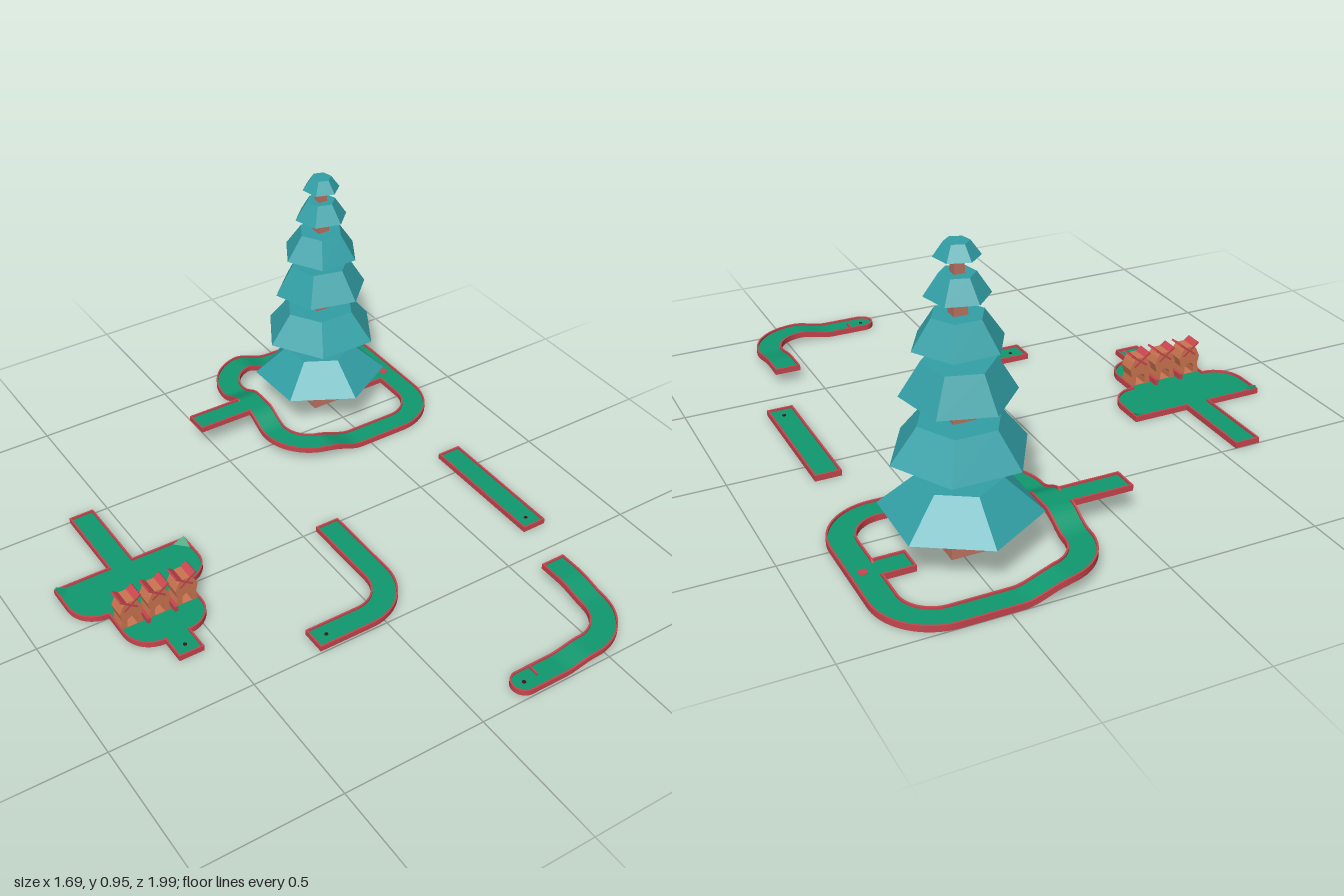
import * as THREE from 'three';

const mat = (color, side = THREE.FrontSide) => new THREE.MeshStandardMaterial({ color, flatShading: true, side });
const RED = mat(0xc8464e), GREEN = mat(0x10996f, THREE.DoubleSide), TEAL = mat(0x32a0a6);
const BROWN = mat(0xb87160), HUT = mat(0xcc7550), DARK = mat(0x401418);
const W = 0.045, T = 0.006, H = 0.02, F = 0.012; // lane half width, rim, rim height, floor height

const smooth = (a, b, v) => THREE.MathUtils.smoothstep(v, a, b);

function add(parent, name, geo, material, x = 0, y = 0, z = 0) {
  const m = new THREE.Mesh(geo, material);
  m.name = name;
  m.position.set(x, y, z);
  parent.add(m);
  return m;
}

function group(parent, name) {
  const g = new THREE.Group();
  g.name = name;
  parent.add(g);
  return g;
}

// skin a list of cross-sections
function loft(rings, closedSection) {
  const pos = [], n = rings[0].length;
  for (let i = 0; i + 1 < rings.length; i++) {
    for (let j = 0; j < (closedSection ? n : n - 1); j++) {
      const k = (j + 1) % n;
      const a = rings[i][j], b = rings[i][k], c = rings[i + 1][k], d = rings[i + 1][j];
      for (const p of [a, b, c, a, c, d]) pos.push(...p);
    }
  }
  const g = new THREE.BufferGeometry();
  g.setAttribute('position', new THREE.Float32BufferAttribute(pos, 3));
  g.computeVertexNormals();
  return g;
}

// lane swept along a plan path (x, z); height(x, z) lifts it, gate(x, z) opens a rim [first, second]
function lane(parent, name, path, { steps = 1, height = () => 0, gate = () => [false, false], closed = false, ends = [true, true] } = {}) {
  const g = group(parent, name);
  const pts = path.getSpacedPoints(steps);
  const rims = [], floors = [];
  pts.forEach((p, i) => {
    const prev = i > 0 ? pts[i - 1] : closed ? pts[steps - 1] : p;
    const next = i < steps ? pts[i + 1] : closed ? pts[1] : p;
    const t = next.clone().sub(prev).normalize();
    const y0 = height(p.x, p.y), [openA, openB] = gate(p.x, p.y);
    const at = (s, y) => [p.x - t.y * s, y0 + y, p.y + t.x * s];
    const hA = openA ? F : H, hB = openB ? F : H;
    rims.push([at(-W, 0), at(-W, hA), at(-W + T, hA), at(-W + T, F - 0.001),
      at(W - T, F - 0.001), at(W - T, hB), at(W, hB), at(W, 0)]);
    const fA = openA ? W : W - T, fB = openB ? W : W - T;
    floors.push([at(-fA, F + 0.0005), at(fB, F + 0.0005)]);
    const e = i === 0 ? 0 : i === steps ? 1 : -1;
    if (!closed && e >= 0 && ends[e]) {
      const s = e ? -T / 2 : T / 2;
      const wall = add(g, 'endRim', new THREE.BoxGeometry(2 * W, H, T), RED, p.x + t.x * s, y0 + H / 2, p.y + t.y * s);
      wall.rotation.y = Math.atan2(t.x, t.y);
    }
  });
  add(g, 'rim', loft(rims, true), RED);
  add(g, 'floor', loft(floors, false), GREEN);
  return g;
}

const line = (x0, z0, x1, z1) => new THREE.Path().moveTo(x0, z0).lineTo(x1, z1);
const hole = (parent, x, z, r = 0.007, m = DARK) =>
  add(parent, 'hole', new THREE.CylinderGeometry(r, r, 0.002, 8), m, x, F + 0.001, z);

// plan shape (x, z) raised to a slab resting on y
function slab(shape, depth, y = 0) {
  return new THREE.ExtrudeGeometry(shape, { depth, bevelEnabled: false, curveSegments: 10 })
    .rotateX(Math.PI / 2).translate(0, y + depth, 0);
}

function treeLane(root) {
  const g = group(root, 'treeLane');
  const r = 0.15, x0 = 0.198, x1 = 0.796, z0 = -0.955, z1 = -0.355, P = Math.PI;
  const p = new THREE.Path().moveTo(x0 + r, z0).lineTo(x1 - r, z0);
  p.absarc(x1 - r, z0 + r, r, -P / 2, 0).absarc(x1 - r, z1 - r, r, 0, P / 2);
  p.absarc(x0 + r, z1 - r, r, P / 2, P).absarc(x0 + r, z0 + r, r, P, 1.5 * P);
  lane(g, 'loop', p, {
    steps: 180, closed: true,
    height: (x, z) => 0.04 * (1 - smooth(0.31, 0.46, x))
      + (x < 0.25 ? 0.04 * (1 - smooth(0.035, 0.15, Math.abs(z + 0.655))) : 0),
    gate: (x, z) => {
      const near = Math.abs(z + 0.655) < W - T;
      return [near && x > 0.7, near && x < 0.3].reverse().map((v, i) => i ? near && x < 0.3 : false)
        .map((v, i) => i ? near && x > 0.7 : near && x < 0.3);
    },
  });
  lane(g, 'startLane', line(-0.05, -0.655, 0.155, -0.655), { height: () => 0.08, ends: [true, false] });
  lane(g, 'catchLane', line(0.65, -0.655, 0.753, -0.655), { ends: [true, false] });
  hole(g, 0.796, -0.655, 0.016, RED);
}

function tree(root) {
  const g = group(root, 'tree');
  g.position.set(0.49, 0, -0.65);
  // square tapering trunk
  const profile = [[0.056, 0.01], [0.044, 0.14], [0.04, 0.3], [0.034, 0.47], [0.027, 0.63], [0.02, 0.78], [0.014, 0.92]];
  const trunk = new THREE.LatheGeometry([[0, 0.01], ...profile, [0, 0.92]].map(([r, y]) => new THREE.Vector2(r * Math.SQRT2, y)), 4, Math.PI / 4);
  add(g, 'trunk', trunk, BROWN);
  // bottom y, top y, bottom radius, top radius, turn, tilt
  const tiers = [
    [0.14, 0.245, 0.243, 0.125, 0, 0.04], [0.325, 0.43, 0.212, 0.13, 30, 0.03],
    [0.505, 0.61, 0.17, 0.108, 15, 0.06], [0.657, 0.745, 0.14, 0.08, 30, 0],
    [0.8, 0.865, 0.095, 0.053, 15, 0.03], [0.912, 0.955, 0.067, 0.037, 12, 0]];
  tiers.forEach(([a, b, r, s, turn, tilt]) => {
    const geo = new THREE.CylinderGeometry(s, r, b - a, 6).rotateY(THREE.MathUtils.degToRad(turn)).rotateX(-tilt);
    add(g, 'foliageTier', geo, TEAL, 0, (a + b) / 2, 0);
  });
  // hollow square spout
  const sq = (C, q) => new C([[-q, -q], [q, -q], [q, q], [-q, q]].map(([x, y]) => new THREE.Vector2(x, y)));
  const frame = sq(THREE.Shape, 0.021);
  frame.holes.push(sq(THREE.Path, 0.012));
  const spout = new THREE.ExtrudeGeometry(frame, { depth: 0.06, bevelEnabled: false }).rotateY(Math.PI / 2);
  add(g, 'spout', spout, BROWN, 0.035, 0.09, 0);
  add(g, 'spoutInside', new THREE.BoxGeometry(0.012, 0.024, 0.024), DARK, 0.047, 0.09, 0);
}

// stepped lane outline, shrunk by i
function courtOutline(i) {
  const half = [[W - i, -0.5 + i], [W - i, -0.2 + i], [0.245 - i, -0.2 + i]];
  const arc = (cx, cz) => {
    for (let k = 0; k <= 8; k++) {
      const a = k / 8 * Math.PI / 2;
      half.push([cx + Math.cos(a) * (0.1 - i), cz + Math.sin(a) * (0.1 - i)]);
    }
  };
  arc(0.145, -0.1);
  half.push([0.145 - i, -i]);
  arc(0.045, 0.1);
  half.push([W - i, 0.2 - i], [W - i, 0.29 - i]);
  return [...half, ...half.map(([x, z]) => [-x, z]).reverse()].map(([x, z]) => new THREE.Vector2(x, z));
}

function hutCourt(root) {
  const g = group(root, 'hutLane');
  g.position.x = -0.6;
  const rim = new THREE.Shape(courtOutline(0));
  rim.holes.push(new THREE.Path(courtOutline(T)));
  add(g, 'rim', slab(rim, H), RED);
  add(g, 'base', slab(new THREE.Shape(courtOutline(0.001)), 0.008), RED);
  add(g, 'floor', slab(new THREE.Shape(courtOutline(T)), 0.004, 0.008), GREEN);
  hole(g, 0, 0.245);
  // banked corners
  for (const s of [-1, 1]) {
    const c = [s * 0.24, 0.03, -0.195], a = [s * 0.195, F, -0.195], b = [s * 0.24, F, -0.15];
    const bank = s > 0 ? [[a, b], [c, c]] : [[b, a], [c, c]];
    add(g, 'cornerBank', loft(bank, false), GREEN);
    add(g, 'bankBack', loft([[a, [c[0], F, c[2]]], [c, c]], false), GREEN);
    add(g, 'bankSide', loft([[b, [c[0], F, c[2]]], [c, c]], false), GREEN);
  }
  // arched huts with crossed roof boards
  for (const x of [-0.1, 0, 0.1]) {
    const h = group(g, 'hut');
    h.position.set(x, 0, 0.02);
    const right = [[0.04, F], [0.034, 0.045], [0.041, 0.075], [0.03, 0.1], [0.02, 0.115]];
    const body = new THREE.Shape([...right, ...right.map(([a, b]) => [-a, b]).reverse()].map(([a, b]) => new THREE.Vector2(a, b)));
    const arch = new THREE.Path().moveTo(-0.018, F + 0.001).lineTo(0.018, F + 0.001).lineTo(0.018, 0.034);
    arch.absarc(0, 0.034, 0.018, 0, Math.PI).closePath();
    body.holes.push(arch);
    add(h, 'body', new THREE.ExtrudeGeometry(body, { depth: 0.06, bevelEnabled: false, curveSegments: 6 }), HUT);
    for (const s of [-1, 1])
      add(h, 'roofBoard', new THREE.BoxGeometry(0.075, 0.007, 0.062), RED, s * 0.006, 0.105, 0.03).rotation.z = s * 0.64;
  }
  for (const x of [-0.05, 0.05])
    add(g, 'divider', new THREE.BoxGeometry(0.012, 0.024, 0.11), RED, x, 0.02, 0.045);
}

export function createModel() {
  const root = new THREE.Group();
  root.name = 'miniGolfCourse';
  treeLane(root);
  tree(root);
  hutCourt(root);

  // straight lane
  hole(lane(root, 'straightLane', line(0.7, -0.1, 0.7, 0.392)), 0.7, 0.345);

  // flat bent lane
  const bend = new THREE.Path().moveTo(0.097, 0).lineTo(0.097, 0.3);
  bend.absarc(-0.051, 0.3, 0.148, 0, Math.PI / 2).lineTo(-0.25, 0.448);
  hole(lane(root, 'bentLane', bend, { steps: 50 }), -0.2, 0.448);

  // rising bent lane with rounded end
  const rise = new THREE.Path().moveTo(0.6, 0.6).lineTo(0.6, 0.8);
  rise.absarc(0.452, 0.8, 0.148, 0, Math.PI / 2).lineTo(0.198, 0.948);
  const g = lane(root, 'risingLane', rise, {
    steps: 80, ends: [true, false],
    height: (x, z) => 0.02 * smooth(0.33, 0.45, x) + 0.02 * (1 - smooth(0.68, 0.82, z)),
  });
  const semi = (r) => new THREE.Shape().absarc(0.198, 0.948, r, Math.PI / 2, 1.5 * Math.PI);
  const band = semi(W);
  band.absarc(0.198, 0.948, W - T, 1.5 * Math.PI, Math.PI / 2, true);
  add(g, 'roundRim', slab(band, H), RED);
  add(g, 'roundBase', slab(semi(W), 0.008), RED);
  add(g, 'roundFloor', slab(semi(W - T), 0.0045, 0.008), GREEN);
  add(g, 'baffle', new THREE.BoxGeometry(T, 0.01, W), RED, 0.25, 0.016, 0.926);
  hole(g, 0.198, 0.948);
  return root;
}
